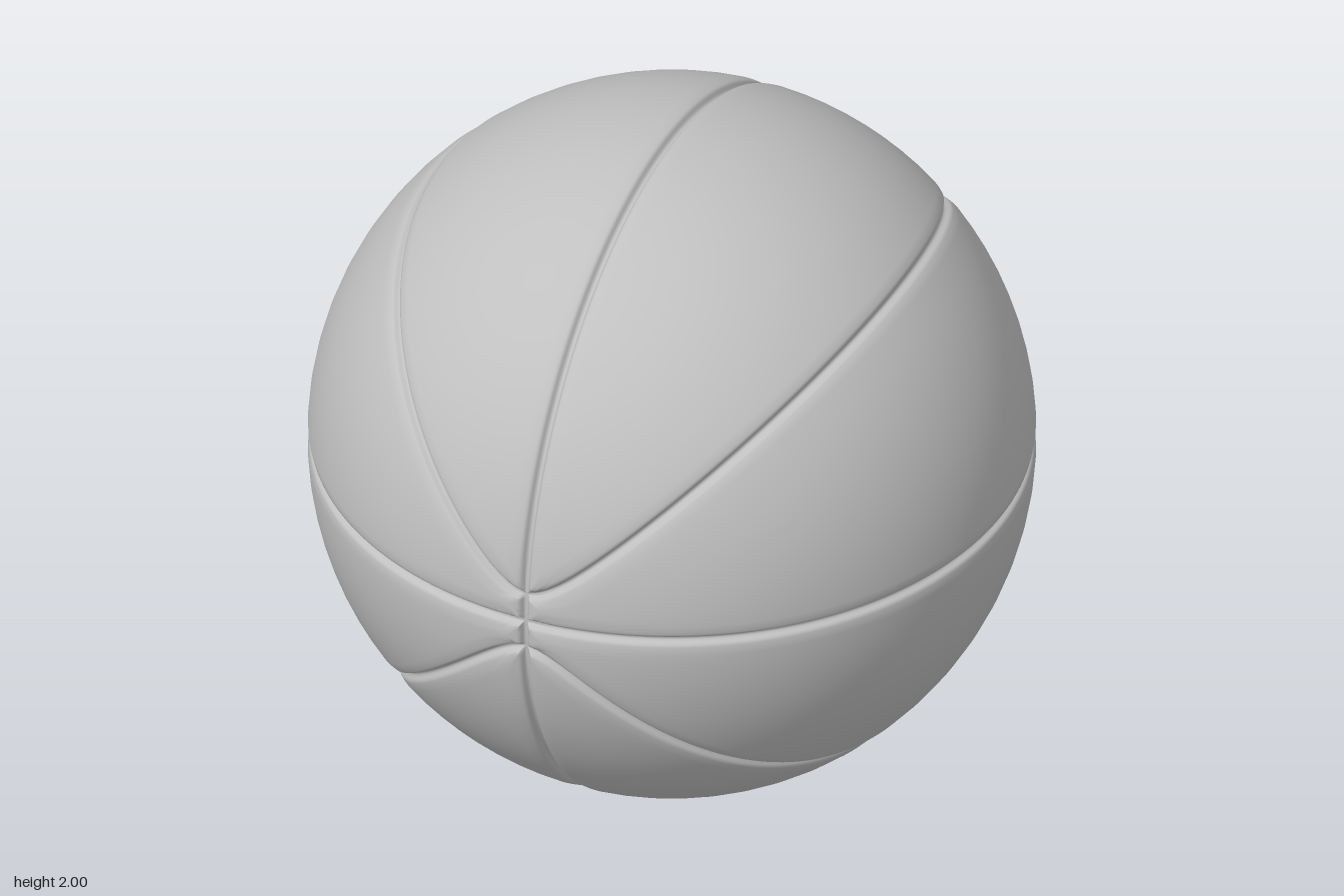
import * as THREE from 'three';
import { mergeVertices } from 'three/addons/utils/BufferGeometryUtils.js';

const BEND = 0.09; // how far the curved seams stay from the seam crossing
const ROWS = 170;
const GROOVE = [0, 0.005, 0.009, 0.012, 0.016, 0.022, 0.032, 0.05]; // samples across half a groove
const PLAIN = 4; // further columns to the middle of a panel

// Groove depth at a point of the unit sphere: two great circles and the bent seams
function seamDepth(x, y) {
  const r = Math.hypot(x, y);
  const bent = Math.abs(Math.abs(y * y - x * x) * Math.sign(y * y - x * x) - BEND * BEND) / (2 * r + 1e-6);
  const d = Math.min(Math.abs(x), Math.abs(y), bent);
  const cut = 1 - THREE.MathUtils.smoothstep(d, 0.004, 0.016);
  return 0.015 * cut + 0.008 * Math.exp(-((d / 0.028) ** 2));
}

// Angles from one seam to the next, crowded beside both seams
function panelAngles(start, end, r) {
  const width = end - start;
  const last = GROOVE[GROOVE.length - 1];
  const scale = Math.min(1 / Math.max(r, 1e-6), (0.35 * width) / last);
  const half = GROOVE.map((g) => g * scale);
  const edge = last * scale;
  for (let k = 1; k <= PLAIN; k++) half.push(edge + ((width / 2 - edge) * k) / PLAIN);
  const back = half.slice(1, -1).reverse().map((s) => width - s);
  return [...half, ...back].map((s) => start + s);
}

function ballGeometry() {
  const positions = [];
  const index = [];
  let columns = 0;
  for (let i = 0; i <= ROWS; i++) {
    // Rows run from the front pole to the back pole, closer together at both
    const t = i / ROWS;
    const theta = Math.PI * (t - (0.88 * Math.sin(2 * Math.PI * t)) / (2 * Math.PI));
    const r = Math.sin(theta);
    // Where the bent seam meets this row
    const c = r > BEND ? Math.acos(-((BEND / r) ** 2)) / 2 : Math.PI / 2;
    const P = Math.PI;
    const seams = [0, c, P / 2, P - c, P, P + c, 1.5 * P, 2 * P - c, 2 * P];
    const angles = [];
    for (let s = 0; s < 8; s++) angles.push(...panelAngles(seams[s], seams[s + 1], r));
    columns = angles.length;
    for (const phi of angles) {
      const x = r * Math.cos(phi);
      const y = r * Math.sin(phi);
      const radius = 1 - seamDepth(x, y);
      positions.push(x * radius, y * radius, Math.cos(theta) * radius);
    }
  }
  for (let i = 0; i < ROWS; i++) {
    for (let j = 0; j < columns; j++) {
      const k = (j + 1) % columns;
      const a = i * columns;
      const b = a + columns;
      index.push(a + j, b + j, b + k, a + j, b + k, a + k);
    }
  }
  let geometry = new THREE.BufferGeometry();
  geometry.setAttribute('position', new THREE.Float32BufferAttribute(positions, 3));
  geometry.setIndex(index);
  geometry = mergeVertices(geometry, 1e-5);
  geometry.computeVertexNormals();
  return geometry;
}

export function createModel() {
  const group = new THREE.Group();
  group.name = 'basketball';
  const grey = new THREE.MeshStandardMaterial({ color: 0xc0c0c0 });
  grey.name = 'light grey';
  const ball = new THREE.Mesh(ballGeometry(), grey);
  ball.name = 'groovedBall';
  ball.position.y = 1;
  group.add(ball);
  return group;
}
